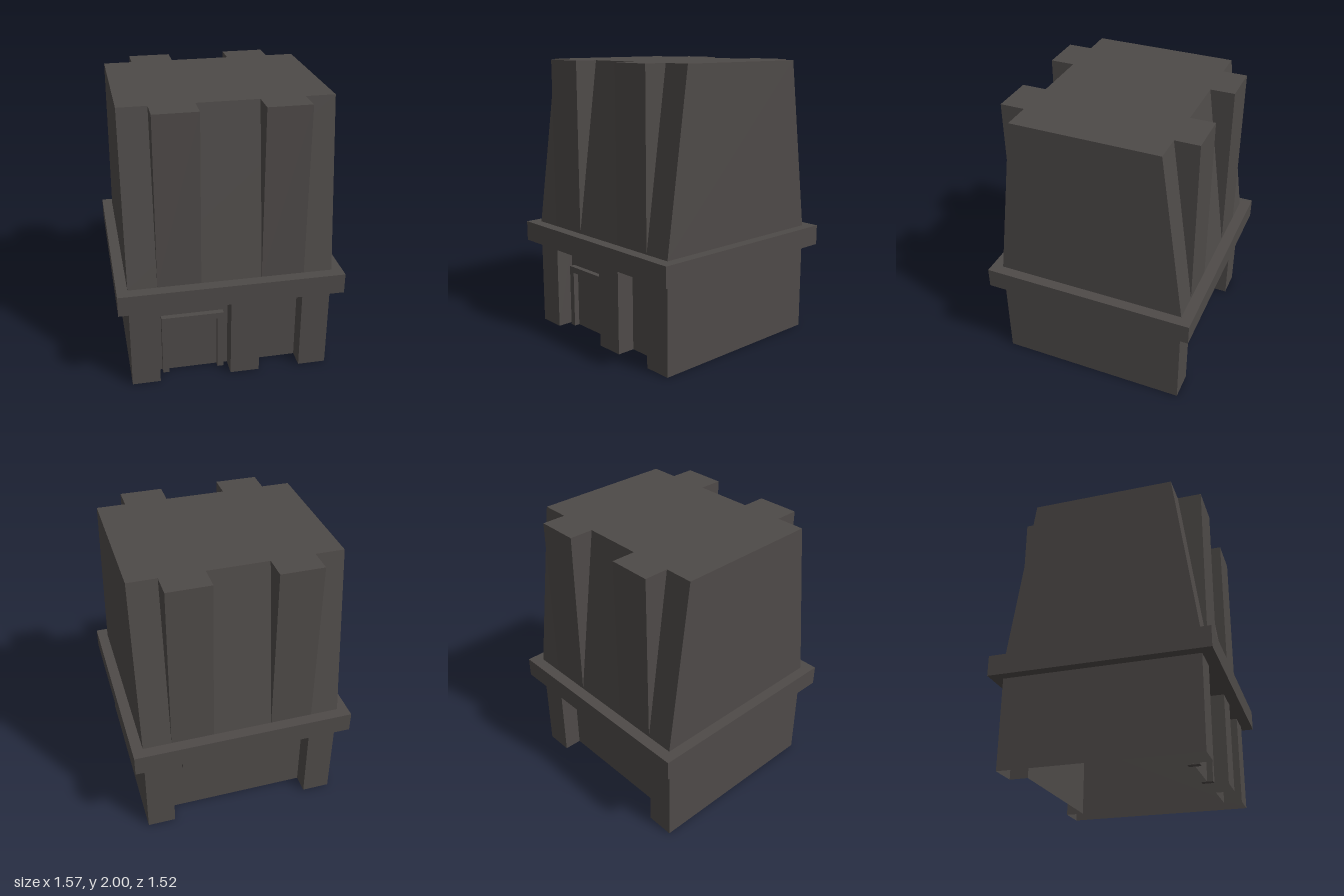
import * as THREE from 'three';

const stone = new THREE.MeshStandardMaterial({ color: 0x4e4a48, side: THREE.DoubleSide });
stone.name = 'dark stone';

const W = 0.71, D = 0.68;      // half width and depth of the walls
const RECESS = 0.55;           // depth of the recessed wall bays
const LEDGE_LOW = 0.64, LEDGE_TOP = 0.785, TOP = 2, TOP_D = 0.51;

export function createModel() {
  const model = new THREE.Group();
  model.name = 'tower';

  const add = (name, geometry, parent = model) => {
    const mesh = new THREE.Mesh(geometry, stone);
    mesh.name = name;
    parent.add(mesh);
    return mesh;
  };
  // Box given by its lowest and highest corners
  const box = (name, x0, x1, y0, y1, z0, z1, parent) =>
    add(name, new THREE.BoxGeometry(x1 - x0, y1 - y0, z1 - z0), parent)
      .position.set((x0 + x1) / 2, (y0 + y1) / 2, (z0 + z1) / 2);

  // Lower storey: thin walls following the plan outline, open below
  const plan = [
    [-W, D], [-0.51, D], [-0.51, RECESS], [0, RECESS], [0, D], [0.21, D],
    [0.21, RECESS], [0.51, RECESS], [0.51, D], [W, D],
    [W, -D], [0.51, -D], [0.51, -RECESS], [-0.51, -RECESS], [-0.51, -D], [-W, -D],
  ];
  const walls = [];
  plan.forEach(([ax, az], i) => {
    const [bx, bz] = plan[(i + 1) % plan.length];
    const a0 = [ax, 0, az], b0 = [bx, 0, bz], a1 = [ax, LEDGE_LOW, az], b1 = [bx, LEDGE_LOW, bz];
    walls.push(...a0, ...b0, ...b1, ...a0, ...b1, ...a1);
  });
  const wallGeo = new THREE.BufferGeometry();
  wallGeo.setAttribute('position', new THREE.Float32BufferAttribute(walls, 3));
  wallGeo.computeVertexNormals();
  add('lowerWalls', wallGeo);

  // Ledge: a square ring around the building
  const rect = (Type, w, d) => new Type([[-w, -d], [w, -d], [w, d], [-w, d]]
    .map(([x, y]) => new THREE.Vector2(x, y)));
  const ring = rect(THREE.Shape, 0.785, 0.76);
  ring.holes.push(rect(THREE.Path, 0.61, 0.5));
  const ledge = new THREE.ExtrudeGeometry(ring, { depth: LEDGE_TOP - LEDGE_LOW, bevelEnabled: false });
  ledge.rotateX(-Math.PI / 2);
  add('ledge', ledge).position.y = LEDGE_LOW;

  // Upper storey: box whose front and back lean inwards, without a floor
  const height = TOP - LEDGE_TOP;
  const upper = new THREE.BoxGeometry(2 * W, height, 2 * D);
  const pos = upper.attributes.position;
  for (let i = 0; i < pos.count; i++) {
    if (pos.getY(i) > 0) pos.setZ(i, Math.sign(pos.getZ(i)) * TOP_D);
  }
  const index = Array.from(upper.index.array);
  index.splice(18, 6);
  upper.setIndex(index);
  upper.clearGroups();
  upper.computeVertexNormals();
  add('upperStorey', upper).position.y = LEDGE_TOP + height / 2;

  // Upright buttresses: wedges between the leaning walls and the vertical
  for (const side of [1, -1]) {
    for (const x of [-0.51, 0.21]) {
      const wedge = new THREE.Shape();
      wedge.moveTo(-D, LEDGE_TOP);
      wedge.lineTo(-TOP_D, TOP);
      wedge.lineTo(-D, TOP);
      wedge.closePath();
      const geo = new THREE.ExtrudeGeometry(wedge, { depth: 0.3, bevelEnabled: false });
      geo.rotateY(Math.PI / 2);
      const mesh = add(side > 0 ? 'frontButtress' : 'backButtress', geo);
      mesh.rotation.y = side > 0 ? 0 : Math.PI;
      mesh.position.x = side > 0 ? x : -x;
    }
  }

  // Door frame straddling the front wall
  const door = new THREE.Group();
  door.name = 'doorFrame';
  model.add(door);
  box('doorPostRight', -0.48, -0.435, 0, 0.42, 0.51, 0.59, door);
  box('doorPostLeft', -0.08, -0.035, 0, 0.42, 0.51, 0.59, door);
  box('doorLintel', -0.48, -0.035, 0.42, 0.465, 0.51, 0.59, door);

  // Horizontal bar on the back wall
  box('backBar', -0.42, 0.42, 0.44, 0.485, -0.61, -RECESS);

  return model;
}
